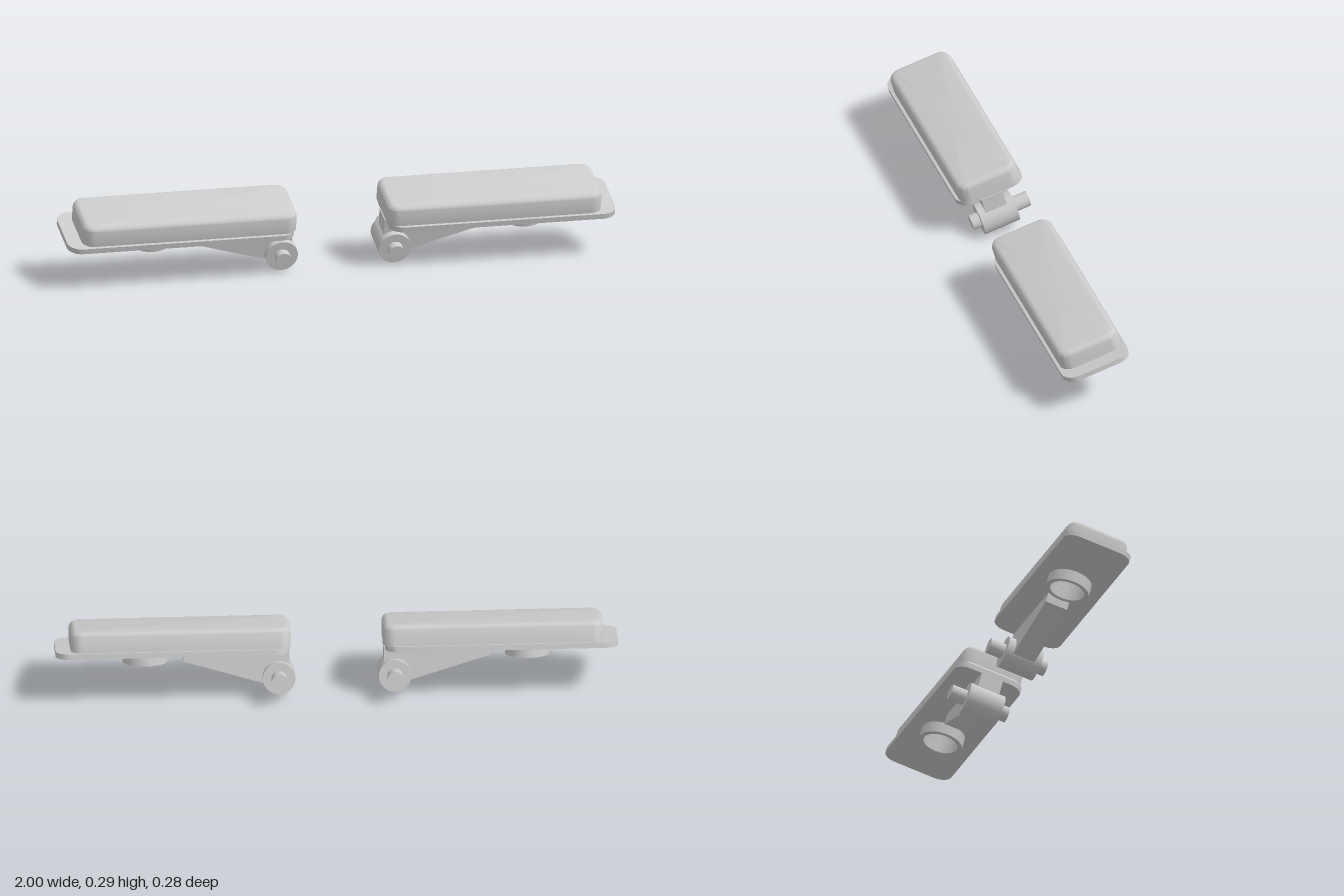
import * as THREE from 'three';
import { toCreasedNormals } from 'three/addons/utils/BufferGeometryUtils.js';

const material = new THREE.MeshStandardMaterial({ color: 0xcccccc });
const doubleSided = new THREE.MeshStandardMaterial({ color: 0xcccccc, side: THREE.DoubleSide });
const TILT = THREE.MathUtils.degToRad(15.2);

function part(name, geometry, x = 0, y = 0, z = 0, mat = material) {
  const mesh = new THREE.Mesh(geometry, mat);
  mesh.name = name;
  mesh.position.set(x, y, z);
  return mesh;
}

// Counter-clockwise outline of a rounded rectangle
function roundedOutline(hw, hd, r, steps = 8) {
  const points = [];
  const corners = [[1, 1], [-1, 1], [-1, -1], [1, -1]];
  corners.forEach(([sx, sy], c) => {
    for (let i = 0; i <= steps; i++) {
      const a = (c + i / steps) * Math.PI / 2;
      points.push(new THREE.Vector2(sx * (hw - r) + r * Math.cos(a), sy * (hd - r) + r * Math.sin(a)));
    }
  });
  return points;
}

// Pad shell: straight sides, rounded top edge, flat top, open underneath
function padGeometry(hw, hd, r, y0, y1, fillet) {
  const rings = [[0, y0]];
  for (let i = 0; i <= 5; i++) {
    const a = i / 5 * Math.PI / 2;
    rings.push([fillet * (1 - Math.cos(a)), y1 - fillet + fillet * Math.sin(a)]);
  }
  const positions = [], index = [];
  let n = 0;
  for (const [inset, y] of rings) {
    const loop = roundedOutline(hw - inset, hd - inset, r - inset);
    n = loop.length;
    loop.forEach(p => positions.push(p.x, y, -p.y));
  }
  const centre = rings.length * n, last = centre - n;
  positions.push(0, y1, 0);
  for (let i = 0; i < n; i++) {
    const j = (i + 1) % n;
    for (let k = 0; k < rings.length - 1; k++) {
      const a = k * n, b = a + n;
      index.push(a + i, a + j, b + j, a + i, b + j, b + i);
    }
    index.push(last + i, last + j, centre);
  }
  const g = new THREE.BufferGeometry();
  g.setAttribute('position', new THREE.Float32BufferAttribute(positions, 3));
  g.setIndex(index);
  return toCreasedNormals(g, 0.6);
}

// Cylinder along z between two depths
function zCylinder(radius, z0, z1) {
  return new THREE.CylinderGeometry(radius, radius, z1 - z0, 32)
    .rotateX(Math.PI / 2).translate(0, 0, (z0 + z1) / 2);
}

function createPedal(side) {
  const pedal = new THREE.Group();
  pedal.name = side > 0 ? 'leftPedal' : 'rightPedal';
  const bossX = 0.68, plateX = 0.586, hingeX = 0.206, hingeY = -0.101;

  // Base plate with a round opening over the boss
  const outline = new THREE.Shape(roundedOutline(0.414, 0.127, 0.05));
  const hole = new THREE.Path();
  hole.absarc(side * (bossX - plateX), 0, 0.063, 0, Math.PI * 2, true);
  outline.holes.push(hole);
  const plate = new THREE.ExtrudeGeometry(outline, { depth: 0.02, bevelEnabled: false, curveSegments: 32 })
    .rotateX(-Math.PI / 2);
  pedal.add(part('basePlate', toCreasedNormals(plate, 0.6), side * plateX));

  // Foot pad
  pedal.add(part('pad', padGeometry(0.391, 0.116, 0.042, 0.02, 0.093, 0.022), side * 0.556));

  // Hollow boss under the plate, with a blind bore
  const profile = [[0, 0.07], [0.063, 0.07], [0.063, -0.042], [0.079, -0.042], [0.079, 0.002]]
    .map(([r, y]) => new THREE.Vector2(r, y));
  pedal.add(part('bossRing', toCreasedNormals(new THREE.LatheGeometry(profile, 40), 0.6),
    side * bossX, 0, -0.002, doubleSided));

  // Wedge arm running from the plate down to the hinge
  const arm = new THREE.Shape([[0.545, 0.004], [0.545, -0.038], [0.235, -0.131], [0.2, -0.12], [0.168, -0.1], [0.168, 0.004]]
    .map(([x, y]) => new THREE.Vector2(side * x, y)));
  pedal.add(part('arm', new THREE.ExtrudeGeometry(arm, { depth: 0.082, bevelEnabled: false }), 0, 0, -0.037));

  // Hinge barrel and its pin
  pedal.add(part('hingeBarrel', zCylinder(0.058, -0.064, 0.07), side * hingeX, hingeY));
  pedal.add(part('hingePin', zCylinder(0.028, -0.121, 0.101), side * hingeX, hingeY));

  pedal.position.set(0, 0.174, 0.01);
  pedal.rotation.x = TILT;
  return pedal;
}

export function createModel() {
  const model = new THREE.Group();
  model.name = 'pedals';
  for (const side of [1, -1]) model.add(createPedal(side));
  return model;
}
